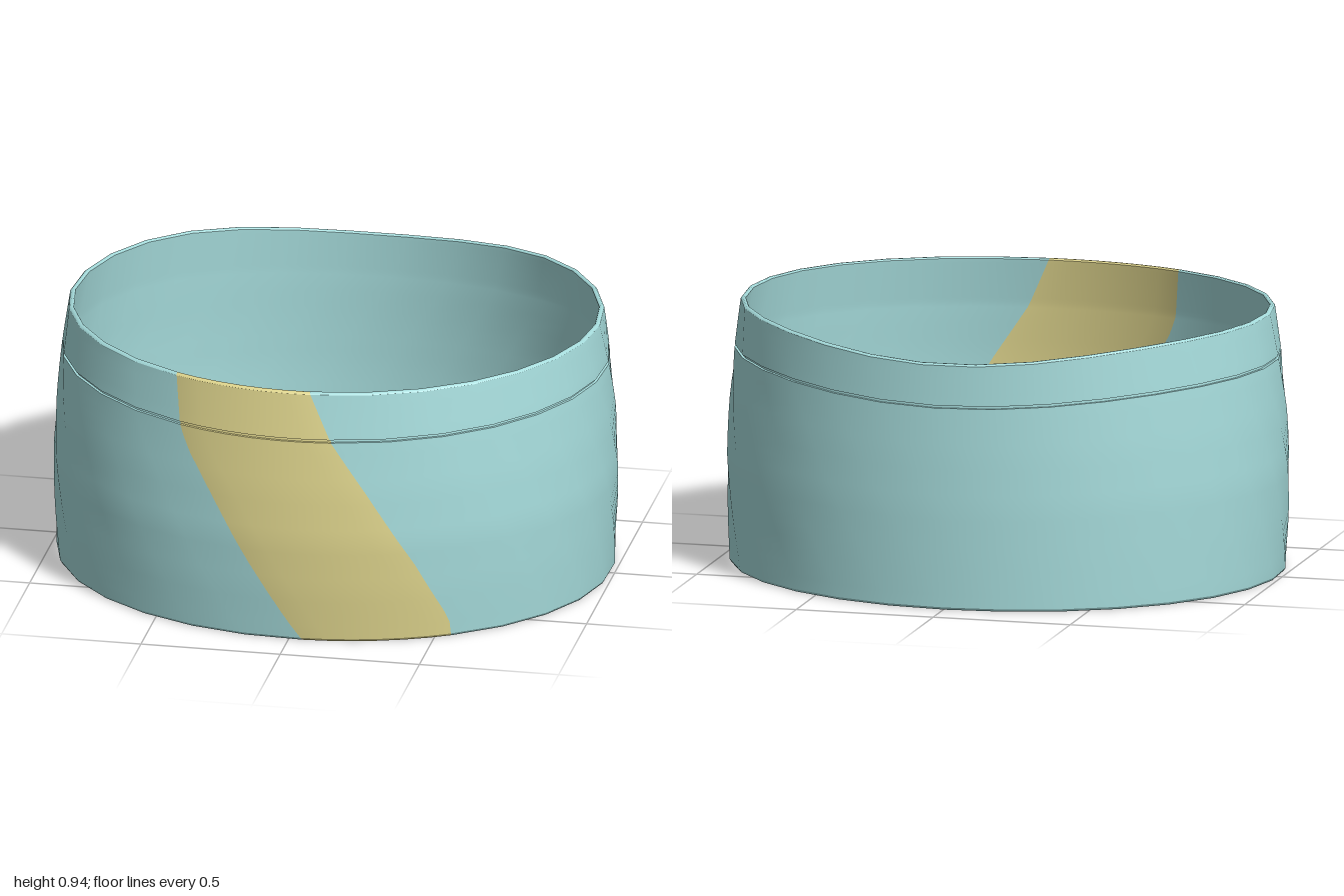
import * as THREE from 'three';

const STRIPE_COLS = 6, REST_COLS = 27, COLS = STRIPE_COLS + REST_COLS;

// Level 0 = base, 1 = seam, 2 = top edge: [level, side radius, front depth, back depth]
const PROFILE = [
  [0, 0.99, 0.853, 0.868], [0.25, 0.996, 0.87, 0.872], [0.5, 1.0, 0.878, 0.875],
  [0.75, 0.989, 0.869, 0.872], [1, 0.971, 0.852, 0.866], [2, 0.947, 0.825, 0.86],
];
// Slanted stripe edges: [level, left x, right x]
const STRIPE = [
  [0, 0.05, 0.555], [0.09, 0.0, 0.55], [0.4, -0.15, 0.435], [0.75, -0.305, 0.275],
  [0.9, -0.375, 0.2], [1, -0.405, 0.15], [2, -0.425, 0.07],
];

function sample(table, v) {
  let i = 0;
  while (i < table.length - 2 && v > table[i + 1][0]) i++;
  const a = table[i], b = table[i + 1], t = (v - a[0]) / (b[0] - a[0]);
  return a.slice(1).map((n, k) => n + (b[k + 1] - n) * t);
}

// Height dips a little at the front and more sharply at the back
function heightAt(v, c) {
  const front = Math.max(0, c) ** 2, back = Math.max(0, -c);
  const seam = 0.768 - 0.02 * front - 0.045 * back ** 4;
  const top = 0.94 - 0.015 * front - 0.06 * back ** 5;
  return v <= 1 ? v * seam : seam + (v - 1) * (top - seam);
}

// Closed strip through rows of [level, inset]; the stripe columns come first
function band(name, rows, materials) {
  const pos = [], stripeIndex = [], restIndex = [];
  rows.forEach(([v, inset], i) => {
    const [rx, zf, zb] = sample(PROFILE, v).map(n => n - inset);
    const [a0, a1] = sample(STRIPE, v).map(x => Math.asin(x / rx));
    for (let j = 0; j < COLS; j++) {
      const angle = j < STRIPE_COLS
        ? a0 + (a1 - a0) * j / STRIPE_COLS
        : a1 + (a0 + Math.PI * 2 - a1) * (j - STRIPE_COLS) / REST_COLS;
      const c = Math.cos(angle);
      pos.push(rx * Math.sin(angle), heightAt(v, c), c * (c > 0 ? zf : zb));
      if (i === rows.length - 1) continue;
      const p = i * COLS + j, q = i * COLS + (j + 1) % COLS;
      (j < STRIPE_COLS ? stripeIndex : restIndex).push(p, q, q + COLS, p, q + COLS, p + COLS);
    }
  });
  const geo = new THREE.BufferGeometry();
  geo.setAttribute('position', new THREE.Float32BufferAttribute(pos, 3));
  geo.setIndex([...stripeIndex, ...restIndex]);
  geo.addGroup(0, stripeIndex.length, 0);
  geo.addGroup(stripeIndex.length, restIndex.length, 1);
  geo.computeVertexNormals();
  const mesh = new THREE.Mesh(geo, materials);
  mesh.name = name;
  return mesh;
}

export function createModel() {
  const yellow = new THREE.MeshStandardMaterial({ color: 0xe0d68e });
  yellow.name = 'pale yellow';
  const teal = new THREE.MeshStandardMaterial({ color: 0xa6dcdc });
  teal.name = 'pale teal';
  const mats = [yellow, teal];
  const wall = 0.018, gap = 1.06;
  const levels = (from, to, n, inset) =>
    Array.from({ length: n + 1 }, (_, i) => [from + (to - from) * i / n, inset]);

  const group = new THREE.Group();
  group.name = 'cuff';
  group.add(
    // Bulging main band and the tapering collar above it
    band('outerBand', levels(0.012, 1, 16, 0), mats),
    band('collar', levels(gap, 1.96, 4, 0), mats),
    // Recessed seam between them
    band('seamLowerLip', [[1, 0], [1, 0.01]], mats),
    band('seamFloor', [[1, 0.01], [gap, 0.01]], mats),
    band('seamUpperLip', [[gap, 0.01], [gap, 0]], mats),
    // Slightly rounded top rim
    band('topRim', [[1.96, 0], [2, 0.005], [2, wall - 0.004], [1.97, wall]], mats),
    // Lining and bottom rim
    band('lining', levels(1.97, 0.012, 24, wall), mats),
    band('bottomRim', [[0.012, wall], [0, wall - 0.004], [0, 0.005], [0.012, 0]], mats),
  );
  return group;
}
